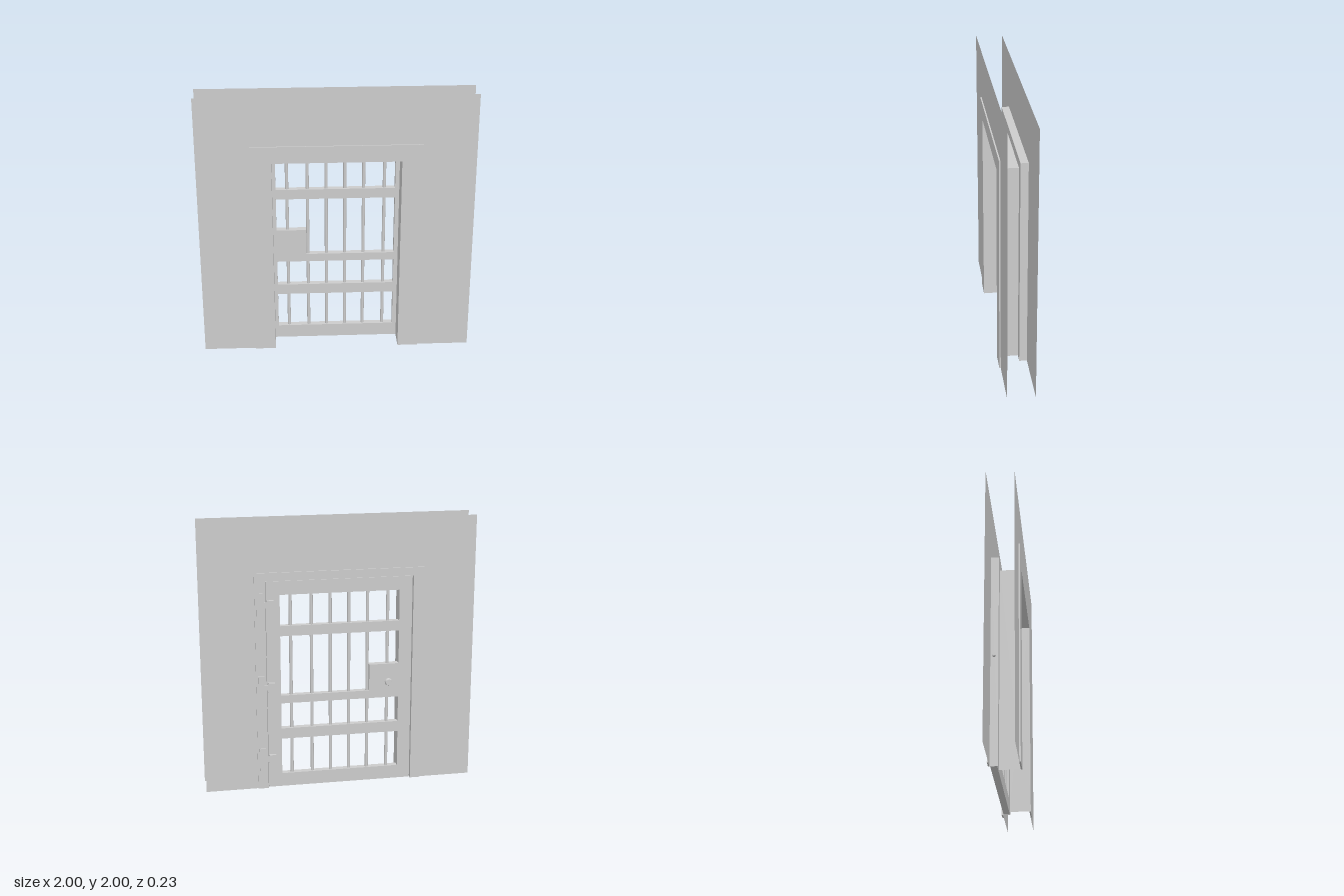
import * as THREE from 'three';

const grey = new THREE.MeshStandardMaterial({ color: 0xcccccc, side: THREE.DoubleSide, flatShading: true });
const smooth = new THREE.MeshStandardMaterial({ color: 0xcccccc });

function add(parent, name, geometry, x = 0, y = 0, z = 0, material = grey) {
  const mesh = new THREE.Mesh(geometry, material);
  mesh.name = name;
  mesh.position.set(x, y, z);
  parent.add(mesh);
  return mesh;
}

// Box given by its limits on each axis
function addBox(parent, name, [x0, x1], [y0, y1], [z0, z1]) {
  return add(parent, name, new THREE.BoxGeometry(x1 - x0, y1 - y0, z1 - z0),
    (x0 + x1) / 2, (y0 + y1) / 2, (z0 + z1) / 2);
}

// Upside-down U outline around a doorway
function archShape(outerX, outerY, innerX, innerY) {
  return new THREE.Shape([
    [-outerX, 0], [-outerX, outerY], [outerX, outerY], [outerX, 0],
    [innerX, 0], [innerX, innerY], [-innerX, innerY], [-innerX, 0],
  ].map(([x, y]) => new THREE.Vector2(x, y)));
}

// Thin lining of a doorway: two sides and a head between two depths
function addLining(parent, name, halfW, top, z0, z1) {
  const lining = new THREE.Group();
  lining.name = name;
  const depth = z1 - z0, z = (z0 + z1) / 2;
  for (const s of [-1, 1]) {
    add(lining, 'liningSide', new THREE.PlaneGeometry(depth, top), s * halfW, top / 2, z).rotation.y = -s * Math.PI / 2;
  }
  add(lining, 'liningHead', new THREE.PlaneGeometry(2 * halfW, depth), 0, top, z).rotation.x = Math.PI / 2;
  parent.add(lining);
}

function rectHole(x0, x1, y0, y1) {
  return new THREE.Path([[x0, y0], [x0, y1], [x1, y1], [x1, y0]].map(([x, y]) => new THREE.Vector2(x, y)));
}

export function createModel() {
  const model = new THREE.Group();
  model.name = 'barredCellDoor';

  const frontZ = 0.105, backZ = -0.096, stepZ = -0.04;
  const inX = 0.465, inY = 1.51;       // front passage
  const recX = 0.54, recY = 1.575;     // wider door recess at the back

  // Wall skins
  add(model, 'frontWall', new THREE.ShapeGeometry(archShape(1, 2, inX, inY)), 0, 0, frontZ);
  add(model, 'backWall', new THREE.ShapeGeometry(archShape(1, 2, recX, recY)), 0, 0, backZ).scale.z = -1;

  // Trim on both sides of the wall
  const trim = (w, h) => new THREE.ExtrudeGeometry(archShape(0.617, 1.635, w, h), { depth: 0.01, bevelEnabled: false });
  add(model, 'frontTrim', trim(inX, inY), 0, 0, frontZ);
  add(model, 'backTrim', trim(recX, recY), 0, 0, backZ - 0.01);

  // Jamb with a rebate for the door
  addLining(model, 'jamb', inX, inY, stepZ, frontZ);
  addLining(model, 'rebate', recX, recY, backZ, stepZ);
  add(model, 'rebateStop', new THREE.ShapeGeometry(archShape(recX, recY, inX, inY)), 0, 0, stepZ);

  // Door leaf with four barred openings
  const door = new THREE.Group();
  door.name = 'door';
  model.add(door);
  const leaf = new THREE.Shape([[-0.535, 0.003], [0.535, 0.003], [0.535, 1.57], [-0.535, 1.57]]
    .map(([x, y]) => new THREE.Vector2(x, y)));
  for (const [y0, y1] of [[0.105, 0.38], [0.46, 0.655], [0.715, 1.165], [1.24, 1.47]]) {
    leaf.holes.push(rectHole(-0.44, 0.435, y0, y1));
  }
  add(door, 'doorLeaf', new THREE.ExtrudeGeometry(leaf, { depth: 0.047, bevelEnabled: false }), 0, 0, -0.092);

  // Vertical bars
  for (const x of [-0.358, -0.208, -0.07, 0.067, 0.205, 0.357]) {
    add(door, 'bar', new THREE.CylinderGeometry(0.012, 0.012, 1.41, 12), x, 0.787, -0.068, smooth);
  }

  // Lock case, key plate and bolt
  addBox(door, 'lockCase', [-0.442, -0.22], [0.71, 0.915], [-0.094, -0.042]);
  add(door, 'keyPlate', new THREE.CylinderGeometry(0.022, 0.028, 0.018, 20), -0.365, 0.775, -0.103, smooth)
    .rotation.x = -Math.PI / 2;
  addBox(door, 'keyGrip', [-0.385, -0.345], [0.771, 0.779], [-0.115, -0.11]);
  add(door, 'bolt', new THREE.CylinderGeometry(0.007, 0.014, 0.02, 12), -0.545, 0.8, -0.07, smooth)
    .rotation.z = Math.PI / 2;

  // Hinges on the back
  for (const y of [0.23, 0.788, 1.402]) {
    const hinge = new THREE.Group();
    hinge.name = 'hinge';
    hinge.position.y = y;
    addBox(hinge, 'framePlate', [0.557, 0.602], [-0.087, 0.087], [-0.115, -0.104]);
    addBox(hinge, 'hingeArm', [0.525, 0.56], [-0.02, 0.02], [-0.112, -0.1]);
    addBox(hinge, 'doorPlate', [0.48, 0.528], [-0.033, 0.033], [-0.115, -0.09]);
    model.add(hinge);
  }

  return model;
}
